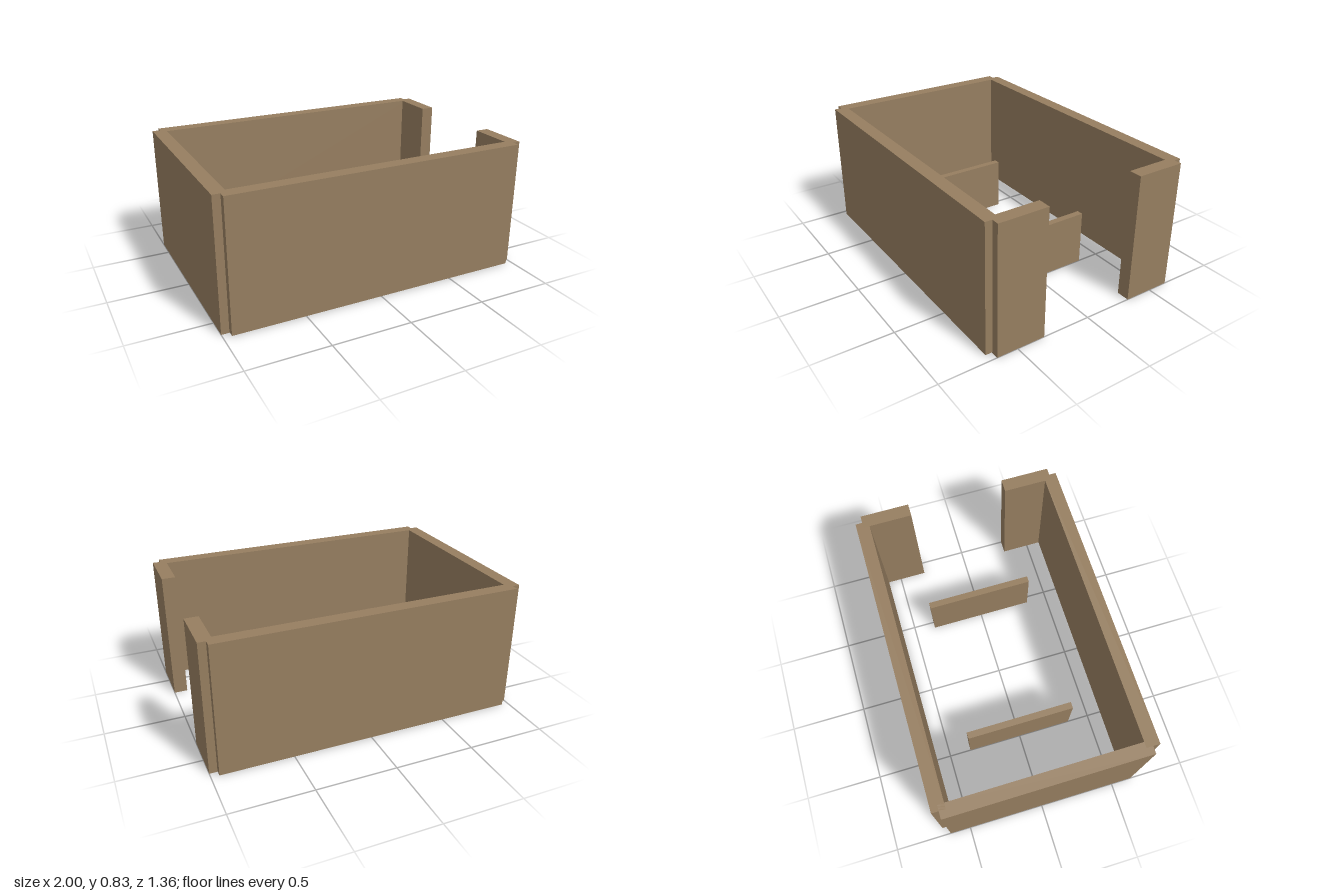
import * as THREE from 'three';

export function createModel() {
  const group = new THREE.Group();
  const material = new THREE.MeshStandardMaterial({ color: 0x967e60, flatShading: true });
  const height = 0.828;
  const thickness = 0.085;

  // Box standing on the given base height
  function addPanel(name, width, tall, depth, x, z, base = 0) {
    const mesh = new THREE.Mesh(new THREE.BoxGeometry(width, tall, depth), material);
    mesh.name = name;
    mesh.position.set(x, base + tall / 2, z);
    group.add(mesh);
  }

  // Closed end wall
  addPanel('endWall', thickness, height, 1.27, -1 + thickness / 2, 0);

  for (const side of [-1, 1]) {
    const end = side > 0 ? 'front' : 'back';
    // Long wall, standing slightly proud of the end wall corners
    addPanel(end + 'Wall', 1.904, height - 0.005, thickness, 0, side * (0.679 - thickness / 2), 0.005);
    // Short wall beside the open doorway
    addPanel(end + 'DoorwayWall', thickness, height, 0.317, 1 - thickness / 2, side * 0.4765);
    // Low free-standing divider
    addPanel(side > 0 ? 'leftDivider' : 'rightDivider', 0.043, 0.353, 0.712, side * 0.478, 0);
  }

  return group;
}
